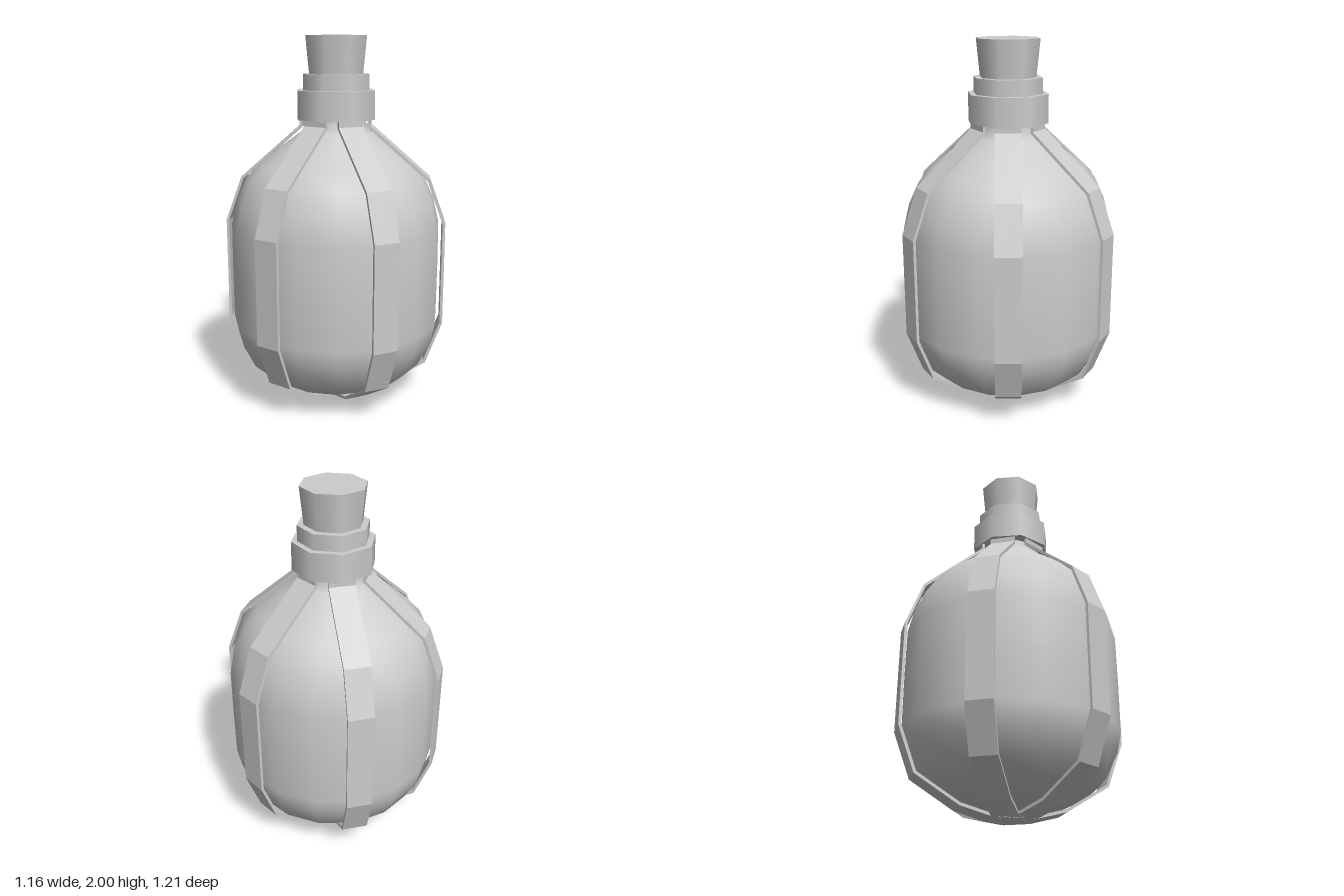
import * as THREE from 'three';

const material = new THREE.MeshStandardMaterial({ color: 0xcccccc });

function add(group, name, geometry) {
  const mesh = new THREE.Mesh(geometry, material);
  mesh.name = name;
  group.add(mesh);
  return mesh;
}

// Eight-sided drum standing between two heights
function drum(rTop, rBottom, y0, y1) {
  return new THREE.CylinderGeometry(rTop, rBottom, y1 - y0, 8).translate(0, (y0 + y1) / 2, 0);
}

// Strap: a thin bent band in the radius/height plane, given its width by extrusion
function strapGeometry(width) {
  const outer = [[0, 0], [0.13, 0.005], [0.28, 0.045], [0.515, 0.19], [0.605, 0.43],
    [0.605, 1.0], [0.515, 1.245], [0.19, 1.53], [0.19, 1.58]];
  const inner = [[0, 0.015], [0.125, 0.02], [0.275, 0.06], [0.502, 0.2], [0.59, 0.435],
    [0.59, 0.997], [0.503, 1.235], [0.175, 1.523], [0.175, 1.58]];
  const points = [...outer, ...inner.reverse()].map(([x, y]) => new THREE.Vector2(x, y));
  return new THREE.ExtrudeGeometry(new THREE.Shape(points), { depth: width, bevelEnabled: false })
    .translate(0, 0, -width / 2);
}

export function createModel() {
  const model = new THREE.Group();
  model.name = 'strappedFlask';

  // Rounded flask body
  const profile = [[0, 0.04], [0.14, 0.045], [0.29, 0.075], [0.41, 0.135], [0.49, 0.205],
    [0.555, 0.335], [0.578, 0.44], [0.58, 0.72], [0.578, 0.98], [0.545, 1.12], [0.49, 1.24],
    [0.42, 1.315], [0.29, 1.42], [0.19, 1.49], [0.165, 1.53], [0.165, 1.58]];
  add(model, 'body', new THREE.LatheGeometry(profile.map(([x, y]) => new THREE.Vector2(x, y)), 16));

  // Six straps from the base up to the collar
  const strap = strapGeometry(0.14);
  for (let i = 0; i < 6; i++) {
    add(model, 'strap' + (i + 1), strap).rotation.y = Math.PI / 6 + (i * Math.PI) / 3;
  }

  // Neck rings and stopper
  add(model, 'collar', drum(0.222, 0.222, 1.56, 1.715));
  add(model, 'mouthRing', drum(0.19, 0.19, 1.7, 1.8));
  add(model, 'stopper', drum(0.175, 0.153, 1.78, 2));

  return model;
}
